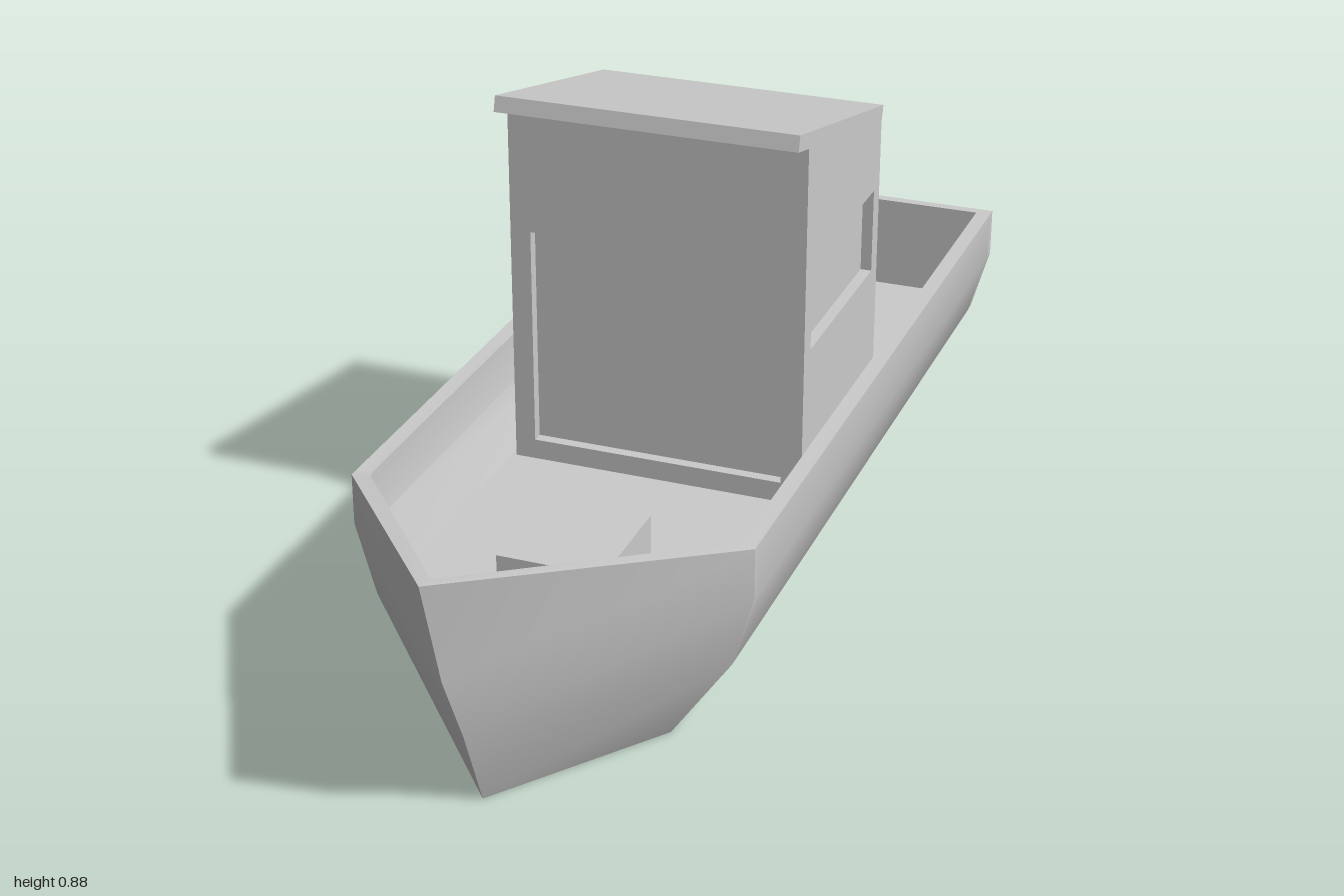
import * as THREE from 'three';
import { toCreasedNormals } from 'three/addons/utils/BufferGeometryUtils.js';

const material = new THREE.MeshStandardMaterial({ color: 0xcccccc });

function add(parent, name, geometry, x = 0, y = 0, z = 0) {
  const mesh = new THREE.Mesh(geometry, material);
  mesh.name = name;
  mesh.position.set(x, y, z);
  parent.add(mesh);
  return mesh;
}

const shapeOf = (points) => new THREE.Shape(points.map(([a, b]) => new THREE.Vector2(a, b)));

// Rectangular opening for a wall
const opening = (a0, a1, b0, b1) =>
  new THREE.Path([[a0, b0], [a1, b0], [a1, b1], [a0, b1]].map((p) => new THREE.Vector2(...p)));

const extrude = (shape, depth) => new THREE.ExtrudeGeometry(shape, { depth, bevelEnabled: false });

// Extrude a (z, y) profile along x, from x0 to x1
function extrudeAcross(shape, x0, x1) {
  return extrude(shape, x1 - x0).rotateY(-Math.PI / 2).translate(x1, 0, 0);
}

// Skin over rows of points; side = 1 or -1 mirrors across x
function skin(rows, side) {
  const n = rows[0].length;
  const index = [];
  for (let i = 0; i < rows.length - 1; i++) {
    for (let j = 0; j < n - 1; j++) {
      const a = i * n + j, b = a + n, c = a + 1, d = b + 1;
      if (side > 0) index.push(a, b, c, b, d, c);
      else index.push(a, c, b, b, c, d);
    }
  }
  const g = new THREE.BufferGeometry();
  const flat = rows.flat().flatMap(([x, y, z]) => [x * side, y, z]);
  g.setAttribute('position', new THREE.Float32BufferAttribute(flat, 3));
  g.setIndex(index);
  return toCreasedNormals(g, 0.5);
}

const FLOOR = 0.183, STERN = -0.917, INNER_STERN = -0.897;

function buildHull() {
  const hull = new THREE.Group();
  hull.name = 'hull';

  // Outer section, keel to rim: half width, height, then stem height and stem z
  const section = [
    [0, 0, 0, 0.815],
    [0.207, 0, 0, 0.815],
    [0.31, 0.15, 0.15, 0.875],
    [0.345, 0.275, 0.285, 0.94],
    [0.345, 0.365, 0.48, 1],
  ];
  const rows = section.map(([x, y, stemY, stemZ]) =>
    [[x, y, INNER_STERN], [x, y, 0.52], [x, y, 0.54], [0, stemY, stemZ]]);

  // Inner rim, inner wall and floor
  rows.push(
    [[0.317, 0.365, INNER_STERN], [0.317, 0.365, 0.52], [0.307, 0.37, 0.545], [0, 0.47, 0.96]],
    [[0.315, 0.275, INNER_STERN], [0.315, 0.275, 0.52], [0.3, 0.275, 0.555], [0, 0.35, 0.915]],
    [[0.275, FLOOR, INNER_STERN], [0.275, FLOOR, 0.52], [0.262, FLOOR, 0.585], [0, 0.28, 0.89]],
    [[0, FLOOR, INNER_STERN], [0, FLOOR, 0.52], [0, FLOOR, 0.585], [0, 0.28, 0.89]],
  );
  add(hull, 'leftHullSide', skin(rows, 1));
  add(hull, 'rightHullSide', skin(rows, -1));

  // Flat stern board
  const half = section.slice(1).map(([x, y]) => [x, y]);
  const outline = [...half, ...half.map(([x, y]) => [-x, y]).reverse()];
  add(hull, 'transom', extrude(shapeOf(outline), INNER_STERN - STERN), 0, 0, STERN);
  return hull;
}

function buildCabin() {
  const cabin = new THREE.Group();
  cabin.name = 'cabin';
  const W = 0.267, T = 0.02, FRONT = 0.065, BACK = -0.358;
  const zf = FRONT - T, zb = BACK + T;

  // Inner core that closes the recessed openings
  const profile = [[zb, FLOOR], [zf, FLOOR], [zf, 0.84], [zb, 0.752]];
  add(cabin, 'cabinCore', extrudeAcross(shapeOf(profile), -W + T, W - T));

  // Side walls, with a window on the left one
  const leftWall = shapeOf(profile);
  leftWall.holes.push(opening(-0.325, 0.03, 0.465, 0.62));
  add(cabin, 'leftWall', extrudeAcross(leftWall, W - T, W));
  add(cabin, 'rightWall', extrudeAcross(shapeOf(profile), -W, -W + T));

  // Front wall with its large recessed panel
  const frontWall = shapeOf([[-W, FLOOR], [W, FLOOR], [W, 0.841], [-W, 0.841]]);
  frontWall.holes.push(opening(-0.23, 0.23, 0.22, 0.62));
  add(cabin, 'frontWall', extrude(frontWall, T), 0, 0, zf);

  // Back wall with a door and a window
  const backWall = shapeOf([[-W, FLOOR], [W, FLOOR], [W, 0.745], [-W, 0.745]]);
  backWall.holes.push(opening(0.02, 0.256, 0.192, 0.605), opening(-0.245, -0.01, 0.352, 0.6));
  add(cabin, 'backWall', extrude(backWall, T), 0, 0, BACK);

  // Sloping roof with a front overhang
  const roof = shapeOf([[BACK, 0.741], [0.12, 0.853], [0.113, 0.88], [-0.367, 0.768]]);
  add(cabin, 'roof', extrudeAcross(roof, -W, W));
  return cabin;
}

export function createModel() {
  const boat = new THREE.Group();
  boat.name = 'boat';
  boat.add(buildHull(), buildCabin());

  // Box on the bow deck
  add(boat, 'bowBox', new THREE.BoxGeometry(0.185, 0.1, 0.21), 0, 0.216, 0.435);
  // Plate running through the transom
  add(boat, 'sternPlate', new THREE.BoxGeometry(0.185, 0.021, 0.38), 0, 0.185, -0.81);
  return boat;
}
